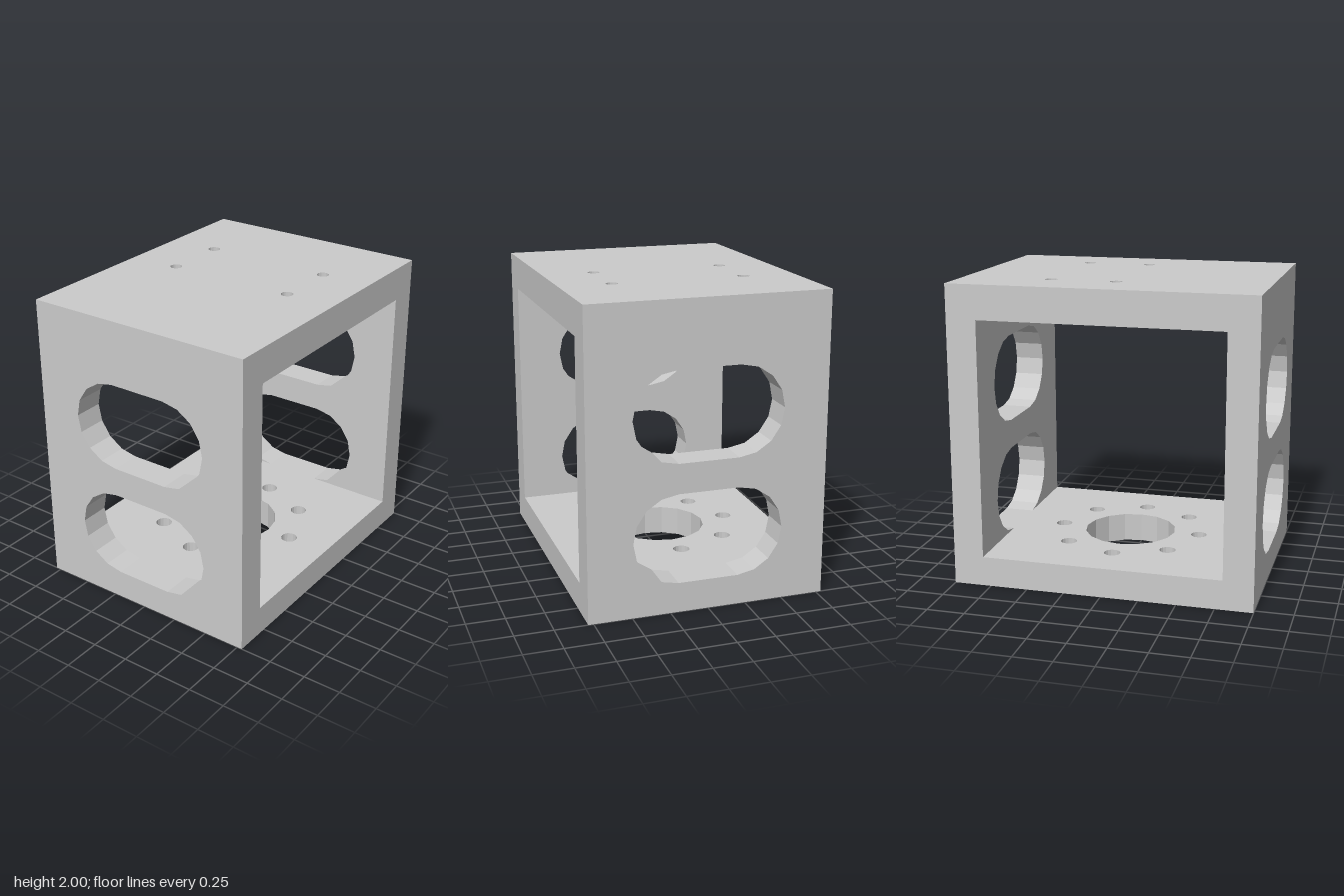
import * as THREE from 'three';

const WIDTH = 2, HEIGHT = 2, DEPTH = 1.57;
const WALL = 0.2, FLOOR = 0.197, ROOF = 0.225;
const SIDES = 16; // facets per full circle

const material = new THREE.MeshStandardMaterial({ color: 0xcccccc, flatShading: true });

// Slot outline; with straight = 0 it is a plain round hole
function slot(cx, cy, radius, straight = 0) {
  const points = [];
  for (const side of [1, -1]) {
    for (let i = 0; i <= SIDES / 2; i++) {
      const a = (i / SIDES) * Math.PI * 2 - (side * Math.PI) / 2;
      points.push(new THREE.Vector2(
        cx + (side * straight) / 2 + radius * Math.cos(a),
        cy + radius * Math.sin(a)));
    }
  }
  // Drop coincident points where the two halves meet
  return new THREE.Path(points.filter((p, i) =>
    p.distanceTo(points[(i + 1) % points.length]) > 1e-6));
}

// Rectangular plate with holes, centred on its own origin in the shape plane
function plate(w, h, thickness, holes) {
  const shape = new THREE.Shape([
    new THREE.Vector2(-w / 2, -h / 2), new THREE.Vector2(w / 2, -h / 2),
    new THREE.Vector2(w / 2, h / 2), new THREE.Vector2(-w / 2, h / 2),
  ]);
  shape.holes.push(...holes);
  return new THREE.ExtrudeGeometry(shape, { depth: thickness, bevelEnabled: false });
}

export function createModel() {
  const group = new THREE.Group();
  const add = (name, geometry) => {
    const mesh = new THREE.Mesh(geometry, material);
    mesh.name = name;
    group.add(mesh);
  };

  // Side walls, each with two lightening slots
  for (const [name, x] of [['leftWall', WIDTH / 2 - WALL], ['rightWall', -WIDTH / 2]]) {
    const slots = [0.492, 1.278].map((y) => slot(0, y - HEIGHT / 2, 0.295, 0.394));
    add(name, plate(DEPTH, HEIGHT, WALL, slots)
      .rotateY(Math.PI / 2).translate(x, HEIGHT / 2, 0));
  }

  // Floor: central bore surrounded by a ring of eight bolt holes
  const floorHoles = [slot(0, 0, 0.314)];
  for (let i = 0; i < 8; i++) {
    const a = (i * Math.PI) / 4;
    floorHoles.push(slot(0.488 * Math.cos(a), 0.488 * Math.sin(a), 0.055));
  }
  const inner = WIDTH - 2 * WALL;
  add('floor', plate(inner, DEPTH, FLOOR, floorHoles)
    .rotateX(Math.PI / 2).translate(0, FLOOR, 0));

  // Roof with four off-centre mounting holes
  const roofHoles = [];
  for (const x of [-0.02, 0.41]) {
    for (const z of [-0.44, 0.44]) roofHoles.push(slot(x, z, 0.04));
  }
  add('roof', plate(inner, DEPTH, ROOF, roofHoles)
    .rotateX(Math.PI / 2).translate(0, HEIGHT, 0));

  return group;
}
